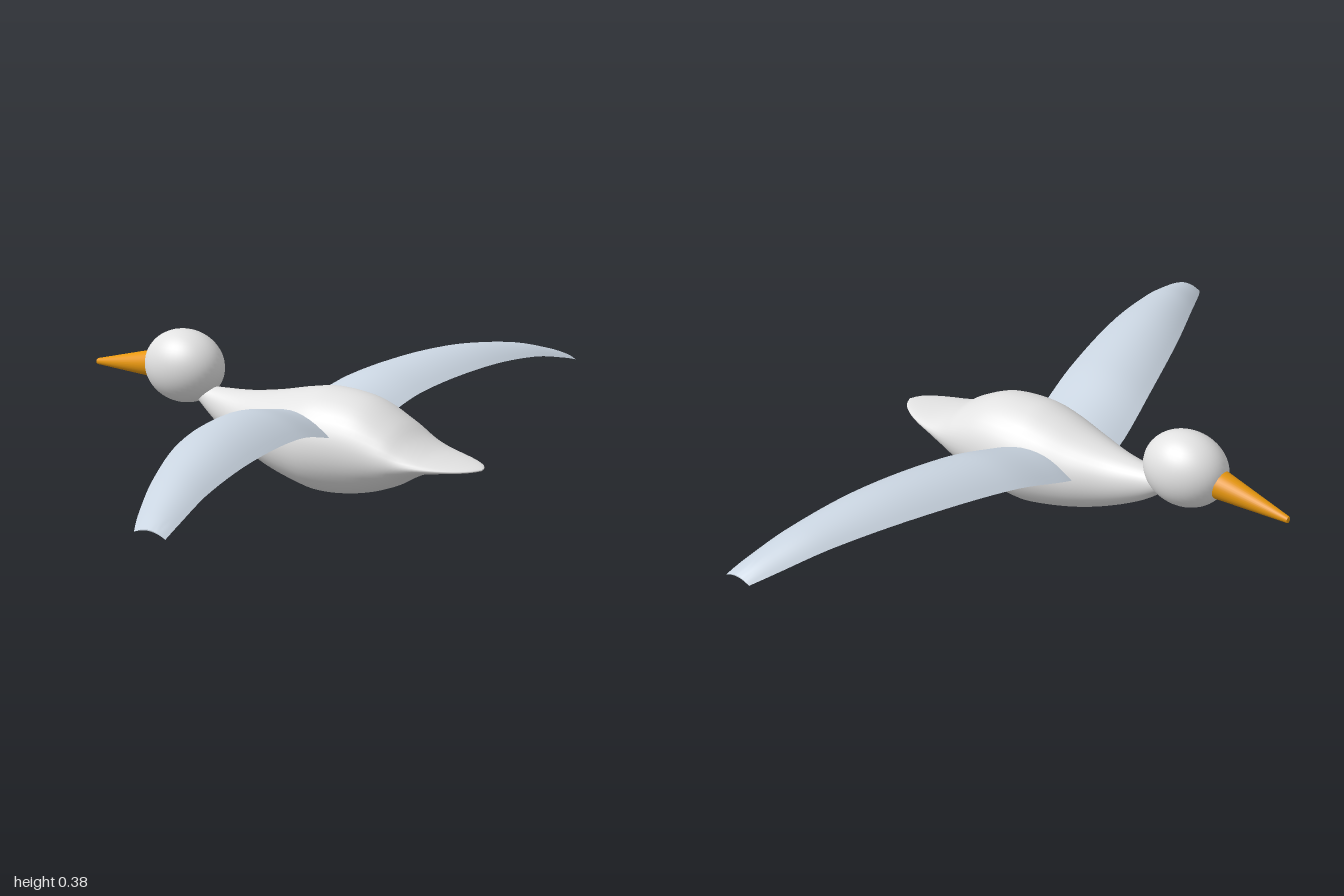
import * as THREE from 'three';
import { toCreasedNormals } from 'three/addons/utils/BufferGeometryUtils.js';

// Skin a list of closed rings (each an array of [x, y, z]).
function loft(rings, flip = false) {
  const n = rings[0].length, index = [];
  for (let i = 0; i < rings.length - 1; i++) {
    for (let j = 0; j < n; j++) {
      const k = (j + 1) % n;
      const a = i * n + j, b = i * n + k, c = a + n, d = b + n;
      if (flip) index.push(a, d, c, a, b, d);
      else index.push(a, c, d, a, d, b);
    }
  }
  const g = new THREE.BufferGeometry();
  g.setAttribute('position', new THREE.Float32BufferAttribute(rings.flat(2), 3));
  g.setIndex(index);
  g.computeVertexNormals();
  return g;
}

// Smooth interpolation through rows whose first entry is the key.
function sampler(rows) {
  return (v) => {
    let i = 0;
    while (i < rows.length - 2 && (v - rows[i + 1][0]) * (rows[1][0] - rows[0][0]) > 0) i++;
    const at = (q) => rows[Math.min(Math.max(q, 0), rows.length - 1)];
    const [p0, p1, p2, p3] = [at(i - 1), at(i), at(i + 1), at(i + 2)];
    const w = p2[0] - p1[0], t = (v - p1[0]) / w;
    return p1.slice(1).map((y1, q) => {
      const c = q + 1;
      const m1 = (p2[c] - p0[c]) / (p2[0] - p0[0]) * w;
      const m2 = (p3[c] - p1[c]) / (p3[0] - p1[0]) * w;
      const t2 = t * t, t3 = t2 * t;
      return (2 * t3 - 3 * t2 + 1) * y1 + (t3 - 2 * t2 + t) * m1
        + (3 * t2 - 2 * t3) * p2[c] + (t3 - t2) * m2;
    });
  };
}

// Body: z, top, bottom, half width, from the flat tail to the neck
const bodyRows = [
  [0.65, 0.152, 0.148, 0.004], [0.637, 0.155, 0.145, 0.03], [0.6, 0.159, 0.139, 0.06],
  [0.55, 0.165, 0.131, 0.085], [0.5, 0.176, 0.118, 0.102], [0.45, 0.2, 0.092, 0.115],
  [0.4, 0.236, 0.061, 0.126], [0.3, 0.284, 0.023, 0.14], [0.18, 0.295, 0.005, 0.148],
  [0.1, 0.282, 0.015, 0.138], [0, 0.257, 0.04, 0.112], [-0.1, 0.239, 0.077, 0.077],
  [-0.2, 0.231, 0.13, 0.045], [-0.28, 0.227, 0.19, 0.02], [-0.31, 0.215, 0.208, 0.004],
];

function bodyGeometry() {
  const sample = sampler(bodyRows), rings = [], steps = 64, sides = 40;
  for (let i = 0; i <= steps; i++) {
    const z = 0.65 - 0.96 * Math.pow(i / steps, 1.15);
    const [top, bottom, w] = sample(z);
    rings.push(Array.from({ length: sides }, (_, j) => {
      const a = j / sides * Math.PI * 2;
      return [w * Math.cos(a), (top + bottom) / 2 + (top - bottom) / 2 * Math.sin(a), z];
    }));
  }
  return loft(rings);
}

// Wing: x, leading z, trailing z, edge height, camber
const wingRows = [
  [0.05, -0.025, 0.235, 0.155, 0.055], [0.13, -0.02, 0.25, 0.18, 0.051],
  [0.3, 0.017, 0.277, 0.227, 0.047], [0.57, 0.105, 0.325, 0.248, 0.043],
  [0.8, 0.204, 0.36, 0.233, 0.032], [0.95, 0.278, 0.384, 0.2, 0.021],
  [1, 0.308, 0.39, 0.185, 0.014],
];

function wingGeometry(side, lift, sweep) {
  const sample = sampler(wingRows), rings = [], steps = 36, n = 12;
  for (let i = 0; i <= steps + 1; i++) {
    const x = 0.05 + 0.95 * Math.min(i / steps, 1);
    const [lead, trail, y, h] = sample(x);
    const under = i > steps ? 1 : 0.8; // last ring closes the tip
    rings.push(Array.from({ length: 2 * n }, (_, j) => {
      const t = j <= n ? j / n : 2 - j / n;
      const arch = 4 * t * (1 - t) * h * (j <= n ? 1 : under);
      const z = trail + (lead - trail) * t;
      return [side * x, y + lift + arch, z + sweep * ((1 - t) - 1.5 * t * (1 - x))];
    }));
  }
  return toCreasedNormals(loft(rings, side < 0), 0.9);
}

export function createModel() {
  const model = new THREE.Group();
  model.name = 'flyingBird';
  const material = (name, color, side = THREE.FrontSide) => {
    const m = new THREE.MeshStandardMaterial({ color, side });
    m.name = name;
    return m;
  };
  const plumage = material('palePlumage', 0xe2e2e2);
  const wingBlue = material('wingBlueGrey', 0xcad5e1, THREE.DoubleSide);
  const orange = material('beakOrange', 0xf5a010);
  const add = (name, geometry, mat) => {
    const mesh = new THREE.Mesh(geometry, mat);
    mesh.name = name;
    model.add(mesh);
    return mesh;
  };

  add('body', bodyGeometry(), plumage);

  const head = add('head', new THREE.SphereGeometry(1, 40, 28), plumage);
  head.scale.set(0.097, 0.105, 0.123);
  head.position.set(0, 0.275, -0.328);

  // Beak: tapered cone drooping so its underside stays level
  const beak = new THREE.CylinderGeometry(0.009, 0.041, 0.217, 32);
  beak.rotateX(-Math.PI / 2);
  beak.applyMatrix4(new THREE.Matrix4().set(1, 0, 0, 0, 0, 1, 0.134, 0, 0, 0, 1, 0, 0, 0, 0, 1));
  add('beak', beak, orange).position.set(0, 0.251, -0.5415);

  add('leftWing', wingGeometry(1, 0, 0), wingBlue);
  add('rightWing', wingGeometry(-1, 0.019, 0.01), wingBlue);
  return model;
}
